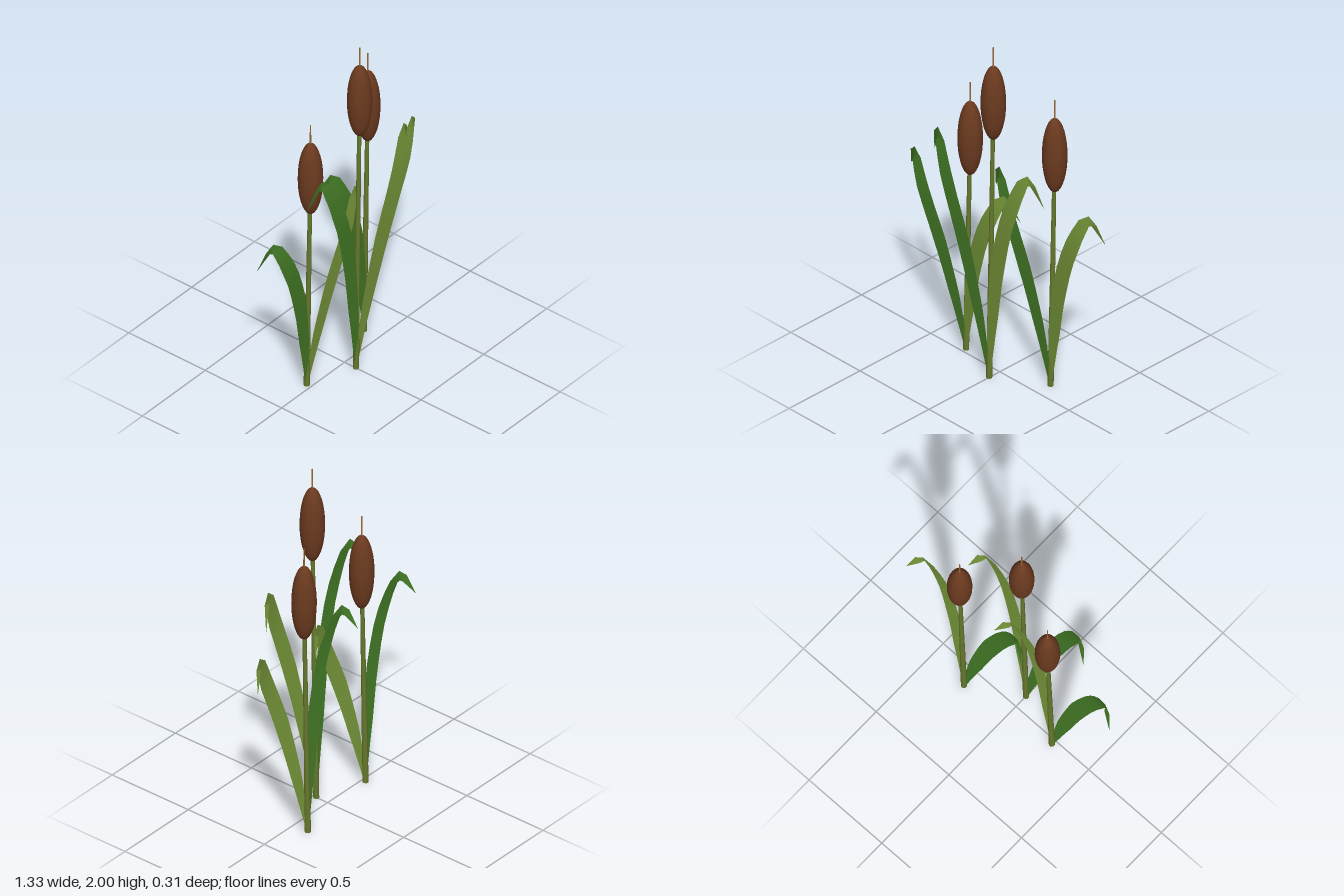
import * as THREE from 'three';

const mat = (color, side = THREE.FrontSide) => new THREE.MeshStandardMaterial({ color, side });

// Leaf centre line as [x, y, z, width]; y is a fraction of the leaf height
const LEAF = [
  [0, 0, 0, 0.015], [0.025, 0.15, 0.015, 0.05], [0.057, 0.3, 0.03, 0.077],
  [0.13, 0.57, 0.06, 0.097], [0.235, 0.82, 0.076, 0.092],
  [0.325, 0.965, 0.047, 0.06], [0.395, 0.857, 0, 0.002],
];

// Ribbon blade that arches outwards and droops at the tip
function leafGeometry(height, side) {
  const curve = new THREE.CatmullRomCurve3(
    LEAF.map(([x, y, z]) => new THREE.Vector3(x * side, y * height, z)), false, 'centripetal');
  const steps = 18, pos = [], index = [];
  for (let i = 0; i <= steps; i++) {
    const t = i / steps, f = t * (LEAF.length - 1), k = Math.min(Math.floor(f), LEAF.length - 2);
    const half = THREE.MathUtils.lerp(LEAF[k][3], LEAF[k + 1][3], f - k) / 2;
    const p = curve.getPoint(t), d = curve.getTangent(t);
    const across = new THREE.Vector3(-d.y, d.x, 0).normalize().multiplyScalar(half);
    const a = p.clone().add(across), b = p.clone().sub(across);
    pos.push(a.x, a.y, a.z, b.x, b.y, b.z);
    if (i < steps) {
      const n = i * 2;
      index.push(n, n + 1, n + 2, n + 1, n + 3, n + 2);
    }
  }
  const g = new THREE.BufferGeometry();
  g.setAttribute('position', new THREE.Float32BufferAttribute(pos, 3));
  g.setIndex(index);
  g.computeVertexNormals();
  return g;
}

export function createModel() {
  const root = new THREE.Group();
  root.name = 'cattails';
  const stemMat = mat(0x66782c), headMat = mat(0x6b3a1f), spikeMat = mat(0x9a6a35);
  const darkLeaf = mat(0x437a26, THREE.DoubleSide), lightLeaf = mat(0x759539, THREE.DoubleSide);
  const lean = 0.03;

  const plants = [
    { x: 0, z: 0.075, top: 2.0, head: 1.667, leaf: 1.4 },
    { x: -0.27, z: -0.025, top: 1.62, head: 1.285, leaf: 1.1 },
    { x: 0.27, z: -0.095, top: 1.73, head: 1.4, leaf: 1.2 },
  ];
  for (const { x, z, top, head, leaf } of plants) {
    const plant = new THREE.Group();
    plant.name = 'cattail';
    plant.position.set(x, 0, z);
    const add = (name, geometry, material) => {
      const m = new THREE.Mesh(geometry, material);
      m.name = name;
      plant.add(m);
      return m;
    };

    // Tapered stem, sheared so it leans slightly towards +x
    const stem = new THREE.CylinderGeometry(0.01, 0.016, head, 10, 6).translate(0, head / 2, 0);
    const p = stem.attributes.position;
    for (let i = 0; i < p.count; i++) p.setX(i, p.getX(i) + lean * p.getY(i) / head);
    add('stem', stem, stemMat);

    // Seed head and the thin spike above it
    const seed = add('seedHead', new THREE.SphereGeometry(1, 24, 18), headMat);
    seed.scale.set(0.065, 0.22, 0.065);
    seed.position.set(lean, head, 0);
    const spikeLength = top - head - 0.2;
    const spike = add('spike', new THREE.CylinderGeometry(0.003, 0.005, spikeLength, 8), spikeMat);
    spike.position.set(lean, top - spikeLength / 2, 0);

    // One blade to each side
    add('rightLeaf', leafGeometry(leaf, -1), darkLeaf);
    add('leftLeaf', leafGeometry(leaf, 1), lightLeaf);
    root.add(plant);
  }
  return root;
}
